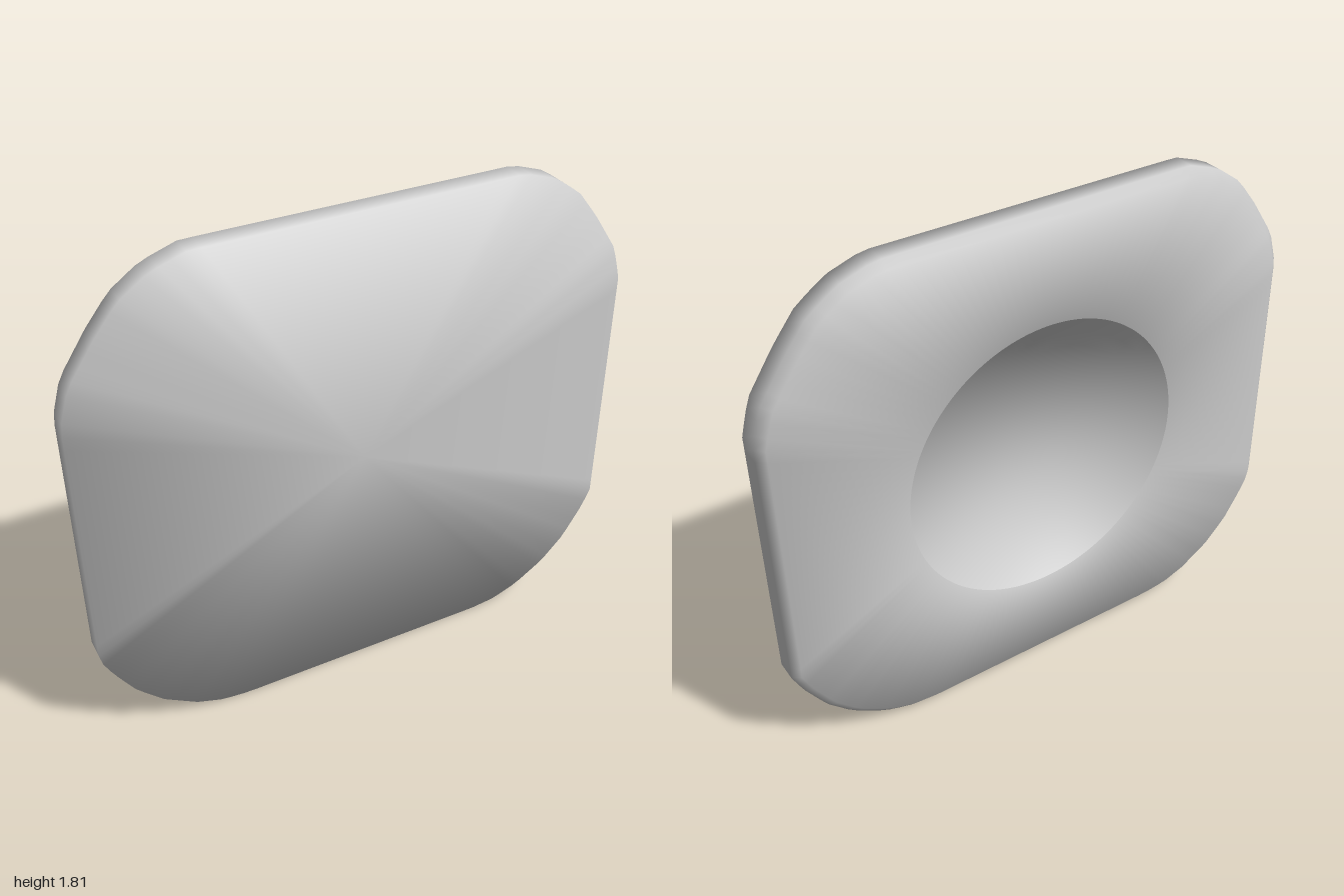
import * as THREE from 'three';

const N = 144;            // points around each ring
const CY = 0.9;           // height of the middle
const DISH_Y = 0.89;      // height of the dish centre
const DISH_R = 0.53;
const DISH_DEPTH = 0.06;

// Right half of the outline from bottom to top, mirrored for the other half
const half = [
  [0.48, 0], [0.58, 0.01], [0.68, 0.045], [0.8, 0.12], [0.89, 0.21], [0.96, 0.32], [1, 0.4],
  [1, 1.34], [0.965, 1.46], [0.87, 1.6], [0.79, 1.7], [0.69, 1.77], [0.57, 1.81],
];

// Evenly spaced outline points with their outward directions
function makeOutline() {
  const corners = [...half, ...half.map(([x, y]) => [-x, y]).reverse()];
  const shape = new THREE.Shape(corners.map(([x, y]) => new THREE.Vector2(x, y)));
  shape.closePath();
  const pts = shape.getSpacedPoints(N).slice(0, N);
  return pts.map((p, i) => {
    const t = pts[(i + 1) % N].clone().sub(pts[(i + N - 1) % N]).normalize();
    return { x: p.x, y: p.y, nx: t.y, ny: -t.x, angle: Math.atan2(p.y - DISH_Y, p.x) };
  });
}

// Skin a list of rings; every ring maps an outline point to position and normal
function loft(rings, outline) {
  const pos = [], nor = [], index = [];
  for (const ring of rings) {
    for (const o of outline) {
      const { p, n } = ring(o);
      pos.push(...p);
      nor.push(...new THREE.Vector3(...n).normalize().toArray());
    }
  }
  for (let r = 0; r < rings.length - 1; r++) {
    for (let j = 0; j < N; j++) {
      const k = (j + 1) % N;
      const a = r * N + j, b = (r + 1) * N + j, c = (r + 1) * N + k, d = r * N + k;
      index.push(a, b, c, a, c, d);
    }
  }
  const geo = new THREE.BufferGeometry();
  geo.setAttribute('position', new THREE.Float32BufferAttribute(pos, 3));
  geo.setAttribute('normal', new THREE.Float32BufferAttribute(nor, 3));
  geo.setIndex(index);
  return geo;
}

// Ring following the outline, drawn in by inset; the normal leans out and along z
const edgeRing = (inset, z, out, nz) => (o) => ({
  p: [o.x - o.nx * inset, o.y - o.ny * inset, z],
  n: [o.nx * out, o.ny * out, nz],
});

// Circular ring around the dish centre; the normal leans in towards its axis
const roundRing = (radius, z, lean) => (o) => {
  const c = Math.cos(o.angle), s = Math.sin(o.angle);
  return { p: [c * radius, DISH_Y + s * radius, z], n: [-c * lean, -s * lean, -1] };
};

export function createModel() {
  const group = new THREE.Group();
  const outline = makeOutline();
  const material = new THREE.MeshStandardMaterial({ color: 0xcccccc });

  // Plate: flat front, straight rim, bevelled back edge, back face up to the dish
  const frontCentre = () => ({ p: [0, CY, 0.05], n: [0, 0, 1] });
  const plate = new THREE.Mesh(loft([
    frontCentre,
    edgeRing(0, 0.05, 0.7, 0.7),
    edgeRing(0, -0.025, 0.92, -0.38),
    edgeRing(0.028, -0.05, 0.5, -0.87),
    roundRing(DISH_R, -0.05, 0.35),
  ], outline), material);
  plate.name = 'plate';
  group.add(plate);

  // Dish: shallow round hollow in the back
  const steps = 10, dishRings = [];
  for (let i = 0; i <= steps; i++) {
    const t = 1 - i / steps;
    dishRings.push(roundRing(DISH_R * t, -0.05 + DISH_DEPTH * (1 - t * t), t * 0.9));
  }
  const dish = new THREE.Mesh(loft(dishRings, outline), material);
  dish.name = 'dish';
  group.add(dish);

  return group;
}
